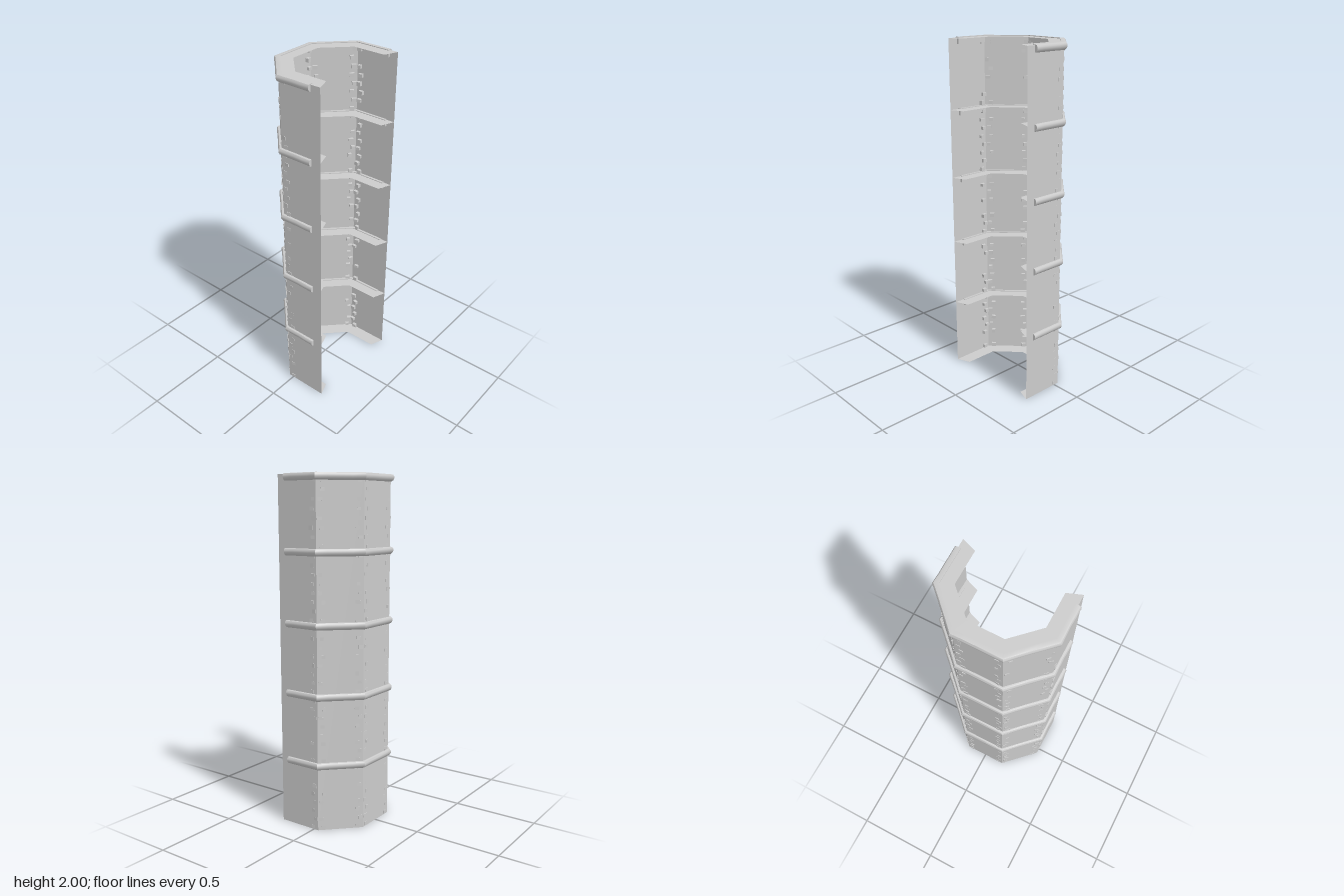
import * as THREE from 'three';
import { mergeGeometries, toCreasedNormals } from 'three/addons/utils/BufferGeometryUtils.js';

const LEVEL = 0.3992; // storey height
const LEVELS = 5;
const grey = new THREE.MeshStandardMaterial({ color: 0xcccccc });
const greyThin = new THREE.MeshStandardMaterial({ color: 0xcccccc, side: THREE.DoubleSide });

let seed = 7;
function rand(a, b) {
  seed = (seed * 16807) % 2147483647;
  return a + (b - a) * (seed / 2147483647);
}

// Open half-octagon in plan as [x, z], offset outwards by d
function outline(d, endLeft = 0.23, endRight = endLeft) {
  const t = d * 0.414;
  return [
    [endLeft, 0.315 + d], [-0.03 - t, 0.315 + d], [-0.213 - d, 0.13 + t],
    [-0.213 - d, -0.13 - t], [-0.03 - t, -0.315 - d], [endRight, -0.315 - d],
  ];
}

function indexed(positions, index) {
  const g = new THREE.BufferGeometry();
  g.setAttribute('position', new THREE.Float32BufferAttribute(positions, 3));
  g.setIndex(index);
  return toCreasedNormals(g.toNonIndexed(), 0.6);
}

function add(group, name, geometry, material, y = 0) {
  const mesh = new THREE.Mesh(geometry, material);
  mesh.name = name;
  mesh.position.y = y;
  group.add(mesh);
}

// Thin faceted wall
function wallGeometry() {
  const pos = [], idx = [];
  outline(0).forEach(([x, z], i) => {
    pos.push(x, 0, z, x, LEVEL * LEVELS, z);
    if (i) idx.push(2 * i - 2, 2 * i - 1, 2 * i, 2 * i - 1, 2 * i + 1, 2 * i);
  });
  return indexed(pos, idx);
}

// Flat inner ledge with slanted front ends
function ledgeGeometry() {
  const pts = [...outline(0), ...outline(-0.08, 0.2).reverse()];
  const shape = new THREE.Shape(pts.map(([x, z]) => new THREE.Vector2(x, -z)));
  return new THREE.ShapeGeometry(shape).rotateX(-Math.PI / 2);
}

// Rounded moulding swept around the wall, slightly uneven
function bandGeometry() {
  const profile = [[-0.015, -0.036], [0.004, -0.036], [0.013, -0.029], [0.018, -0.018],
    [0.018, -0.007], [0.012, 0.002], [0.004, 0.004], [-0.015, 0.004]];
  const n = profile.length, steps = 4, pos = [], idx = [];
  const paths = profile.map(([d]) => outline(d, 0.17, 0.18));
  let rings = 0;
  for (let s = 0; s < 5; s++) {
    for (let k = s ? 1 : 0; k <= steps; k++) {
      const f = k / steps, dent = f > 0 && f < 1 ? rand(0, 0.004) : 0;
      profile.forEach(([d, y], j) => {
        const a = paths[j][s], b = paths[j][s + 1];
        const shrink = 1 - (d > 0.01 ? dent * 2 : 0);
        pos.push((a[0] + (b[0] - a[0]) * f) * shrink, y, (a[1] + (b[1] - a[1]) * f) * shrink);
      });
      rings++;
    }
  }
  for (let i = 0; i < rings - 1; i++) {
    for (let j = 0; j < n; j++) {
      const a = i * n + j, b = i * n + (j + 1) % n;
      idx.push(a, b, a + n, b, b + n, a + n);
    }
  }
  const last = (rings - 1) * n;
  for (let j = 1; j < n - 1; j++) idx.push(0, j + 1, j, last, last + j, last + j + 1);
  return indexed(pos, idx);
}

// Two staggered columns of small blocks on the inside of a wall corner
function cornerBlocksGeometry(corner) {
  const path = outline(0), [cx, cz] = path[corner], blocks = [];
  for (const side of [-1, 1]) {
    const [ex, ez] = path[corner + side];
    const len = Math.hypot(ex - cx, ez - cz);
    const ux = (ex - cx) / len, uz = (ez - cz) / len;
    // inward normal of this panel
    const nx = uz * side, nz = -ux * side;
    const flip = nx * (0.03 - cx) + nz * -cz < 0 ? -1 : 1;
    for (let row = 0; row < 40; row++) {
      if (rand(0, 1) < 0.2) continue;
      const along = (row % 2 ? 0.02 : 0.033) + rand(-0.004, 0.004);
      const inward = flip * rand(0.006, 0.009);
      const g = new THREE.BoxGeometry(rand(0.02, 0.028), rand(0.016, 0.023), 0.02);
      g.rotateZ(rand(-0.08, 0.08));
      g.rotateY(Math.atan2(-uz, ux) + rand(-0.15, 0.15));
      g.translate(cx + ux * along + nx * inward, 0.016 + row * 0.0499, cz + uz * along + nz * inward);
      blocks.push(g);
    }
  }
  return mergeGeometries(blocks);
}

export function createModel() {
  const model = new THREE.Group();
  model.name = 'halfOctagonTower';
  add(model, 'wall', wallGeometry(), greyThin);

  const ledge = ledgeGeometry(), band = bandGeometry();
  for (let i = 0; i <= LEVELS; i++) {
    add(model, `ledge${i}`, ledge, greyThin, i * LEVEL);
    if (i) add(model, `band${i}`, band, grey, i * LEVEL);
  }
  for (let corner = 1; corner <= 4; corner++) {
    add(model, `cornerBlocks${corner}`, cornerBlocksGeometry(corner), grey);
  }
  return model;
}
